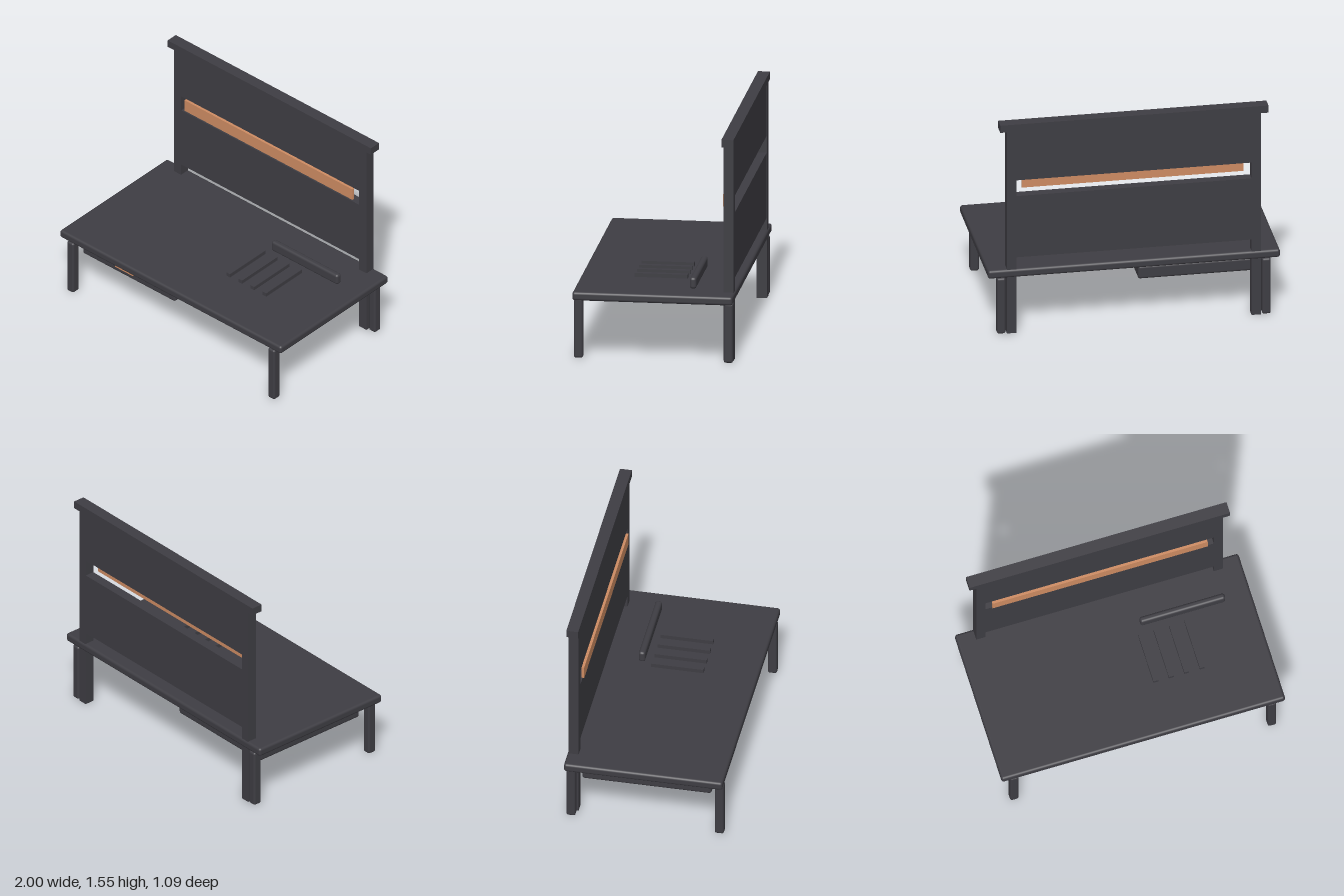
import * as THREE from 'three';
import { RoundedBoxGeometry } from 'three/addons/geometries/RoundedBoxGeometry.js';

export function createModel() {
  const group = new THREE.Group();
  const dark = new THREE.MeshStandardMaterial({ color: 0x3e3d43 });
  dark.name = 'charcoal';
  const copper = new THREE.MeshStandardMaterial({ color: 0xcd8b62 });
  copper.name = 'copper';

  // Box from min/max extents; a radius rounds its edges
  function block(name, [x0, x1], [y0, y1], [z0, z1], material = dark, radius = 0) {
    const size = [x1 - x0, y1 - y0, z1 - z0];
    const geometry = radius
      ? new RoundedBoxGeometry(...size, 3, radius)
      : new THREE.BoxGeometry(...size);
    const mesh = new THREE.Mesh(geometry, material);
    mesh.name = name;
    mesh.position.set((x0 + x1) / 2, (y0 + y1) / 2, (z0 + z1) / 2);
    group.add(mesh);
  }

  // Desk top
  block('deskTop', [-1, 1], [0.415, 0.475], [-0.545, 0.545], dark, 0.018);

  // Legs and tall back posts, mirrored
  for (const [side, s] of [['left', 1], ['right', -1]]) {
    const span = (a, b) => (s > 0 ? [a, b] : [-b, -a]);
    block(side + 'FrontLeg', span(0.878, 0.938), [0, 0.412], [0.48, 0.543], dark, 0.015);
    block(side + 'BackLeg', span(0.878, 0.938), [0, 0.412], [-0.54, -0.477], dark, 0.015);
    block(side + 'BackPost', span(0.805, 0.87), [0, 1.497], [-0.537, -0.467]);
  }

  // Back panels with an open slot between them, and the cap rail
  block('lowerBackPanel', [-0.805, 0.805], [0.56, 1.015], [-0.535, -0.469]);
  block('upperBackPanel', [-0.805, 0.805], [1.132, 1.497], [-0.535, -0.469]);
  block('capRail', [-0.92, 0.917], [1.497, 1.55], [-0.542, -0.46]);

  // Copper strip in front of the slot
  block('accentStrip', [-0.76, 0.757], [1.044, 1.132], [-0.469, -0.451], copper);

  // Hanging drawer and its pull
  block('drawer', [-0.882, -0.045], [0.284, 0.381], [-0.443, 0.447], dark, 0.018);
  block('drawerPull', [-0.562, -0.4], [0.345, 0.362], [0.445, 0.475], copper);

  // Low slats and rest bar on the desk top
  for (let i = 0; i < 4; i++) {
    const x = 0.198 + i * 0.109;
    block('slat' + (i + 1), [x - 0.017, x + 0.017], [0.472, 0.502], [-0.18, 0.18]);
  }
  block('restBar', [0.218, 0.817], [0.476, 0.555], [-0.275, -0.23], dark, 0.018);

  return group;
}
